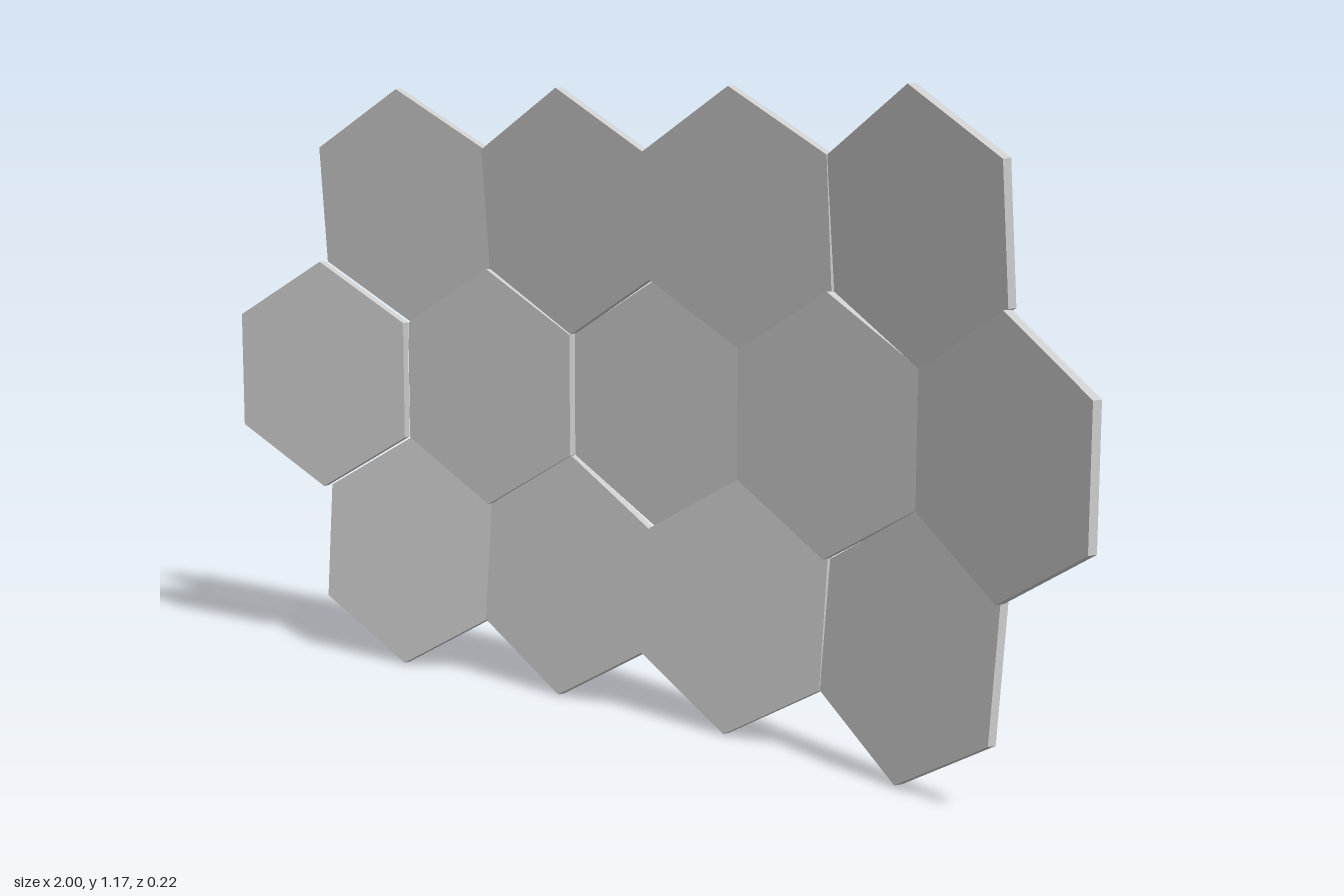
import * as THREE from 'three';

const RADIUS = 0.2335, THICKNESS = 0.018;
const HALF = RADIUS * Math.cos(Math.PI / 6); // half the width across flats
const ROW_STEP = RADIUS * 1.5, MID_Y = 0.586;

export function createModel() {
  const group = new THREE.Group();
  group.name = 'hexPanelArray';
  const material = new THREE.MeshStandardMaterial({ color: 0xcccccc, flatShading: true });

  // Pointy-top hexagonal plate facing +z
  const plate = new THREE.CylinderGeometry(RADIUS, RADIUS, THICKNESS, 6).rotateX(Math.PI / 2);

  // Each entry: [depth z, yaw in degrees]; columns run from -x to +x
  const middle = [[0.005, 12.5], [-0.069, 5], [-0.104, 0], [-0.069, -5], [0.035, -19]];
  const outer = [[-0.042, 9.7], [-0.071, 0], [-0.071, 0], [-0.024, -14]];

  function addRow(name, columns, row, tilt) {
    columns.forEach(([z, yaw], i) => {
      const panel = new THREE.Mesh(plate, material);
      panel.name = `${name}Panel${i + 1}`;
      panel.position.set((2 * i - columns.length + 1) * HALF * 0.995, MID_Y + row * ROW_STEP, z);
      panel.rotation.set(THREE.MathUtils.degToRad(tilt), THREE.MathUtils.degToRad(yaw), 0, 'YXZ');
      group.add(panel);
    });
  }

  // Upper and lower rows lean forward to form a shallow dish
  addRow('upper', outer, 1, 5);
  addRow('middle', middle, 0, 0);
  addRow('lower', outer, -1, -5);
  return group;
}
